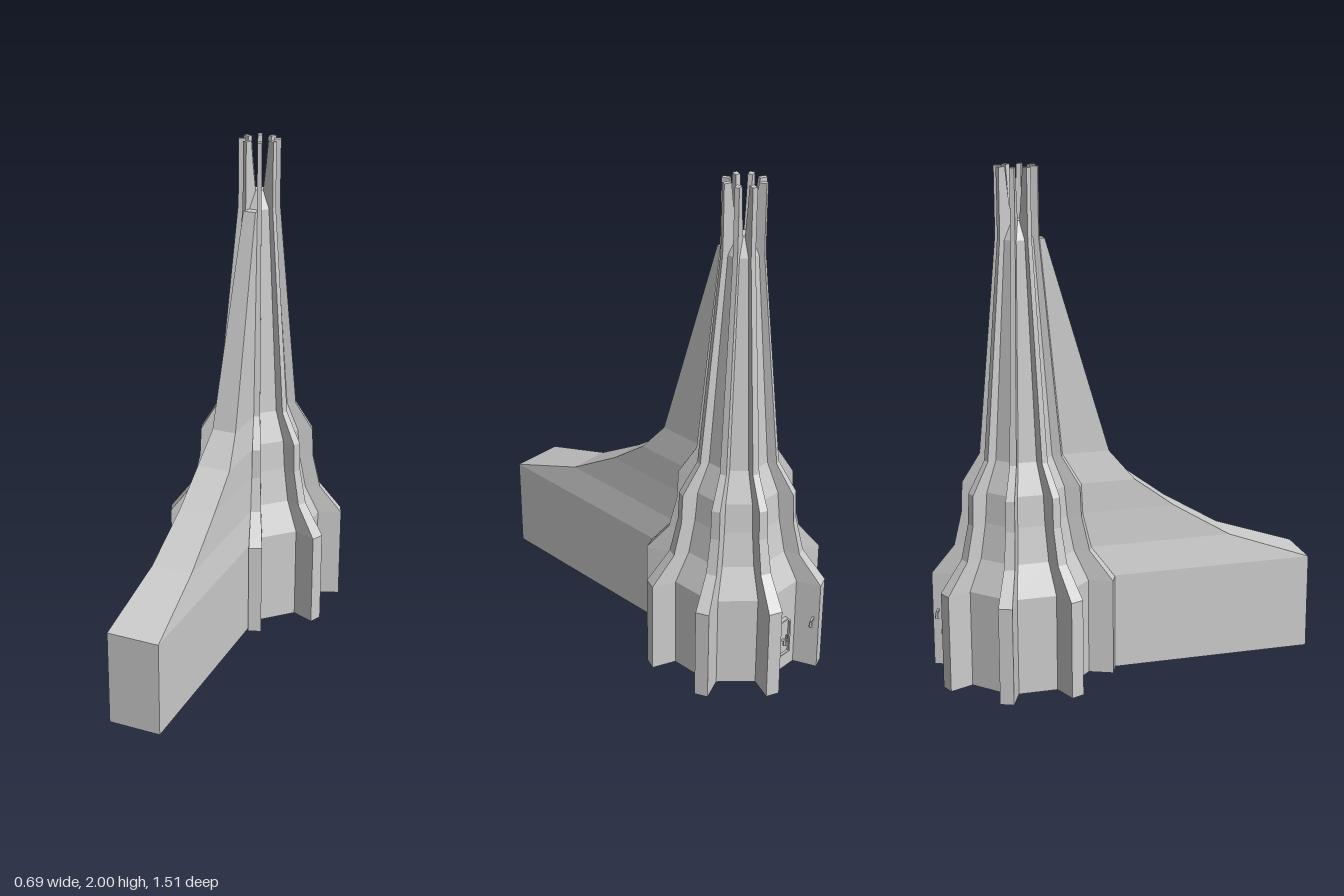
import * as THREE from 'three';

const CZ = -0.41;                       // tower axis in z
const T = Math.tan(Math.PI / 8), C = Math.cos(Math.PI / 8);
const mat = new THREE.MeshStandardMaterial({ color: 0xcccccc, flatShading: true, side: THREE.DoubleSide });

// Shared heights: [y, octagon apothem, fin outer radius, fin half width, buttress front z]
const LEVELS = [
  [0.00, 0.255, 0.363, 0.027, 0.755],
  [0.39, 0.255, 0.363, 0.027, 0.755],
  [0.51, 0.200, 0.270, 0.021, 0.42],
  [0.65, 0.175, 0.238, 0.018, 0.19],
  [0.77, 0.165, 0.233, 0.017, 0.03],
  [0.89, 0.120, 0.161, 0.013, -0.07],
  [1.73, 0.062, 0.084, 0.009, -0.31],
];

// Skin rings of [x, y, z] points, counter-clockwise from above; optional flat top
function loft(rings, { closed = true, cap = true } = {}) {
  const pos = [], n = rings[0].length;
  for (let k = 0; k < rings.length - 1; k++) {
    for (let i = 0; i < (closed ? n : n - 1); i++) {
      const j = (i + 1) % n;
      const a = rings[k][i], b = rings[k][j], c = rings[k + 1][j], d = rings[k + 1][i];
      pos.push(...a, ...b, ...c, ...a, ...c, ...d);
    }
  }
  const top = rings[rings.length - 1];
  if (cap) for (let i = 1; i < n - 1; i++) pos.push(...top[0], ...top[i], ...top[i + 1]);
  const g = new THREE.BufferGeometry();
  g.setAttribute('position', new THREE.Float32BufferAttribute(pos, 3));
  g.computeVertexNormals();
  return g;
}

function add(parent, name, geometry) {
  const m = new THREE.Mesh(geometry, mat);
  m.name = name;
  parent.add(m);
  return m;
}

// Octagonal core, open underneath
function coreGeometry() {
  const octagon = (y, apothem) => Array.from({ length: 8 }, (_, i) => {
    const a = (i + 0.5) * Math.PI / 4, r = apothem / C;
    return [r * Math.sin(a), y, r * Math.cos(a)];
  });
  return loft([...LEVELS.map(([y, a]) => octagon(y, a)), octagon(1.8, 0.03)]);
}

// One radial fin pointing to +z, rising above the core as a prong
function finGeometry() {
  const ring = (y, inner, outer, w) => [[-w, y, inner], [-w, y, outer], [w, y, outer], [w, y, inner]];
  const rings = LEVELS.map(([y, a, r, w]) => ring(y, a / C - w * T - 0.002, r, w));
  rings.push(ring(1.8, 0.03, 0.083, 0.009), ring(1.9, 0.044, 0.083, 0.009), ring(2, 0.055, 0.083, 0.009));
  return loft(rings);
}

// Long sweeping buttress, as wide as the core face it meets
function buttressGeometry() {
  return loft(LEVELS.map(([y, a, , , front]) => {
    const w = a * T, back = CZ + a;
    return [[-w, y, back], [-w, y, front], [w, y, front], [w, y, back]];
  }), { closed: false });
}

// Door outline with clipped upper corners
function doorPoints(w, h, cut) {
  return [[-w, 0], [w, 0], [w, h - cut], [w - cut, h], [cut - w, h], [-w, h - cut]]
    .map(([x, y]) => new THREE.Vector2(x, y));
}

export function createModel() {
  const model = new THREE.Group();
  model.name = 'tower';

  const shaft = new THREE.Group();
  shaft.name = 'shaft';
  shaft.position.z = CZ;
  model.add(shaft);
  add(shaft, 'core', coreGeometry());

  const fin = finGeometry();
  for (let i = 0; i < 8; i++) add(shaft, 'fin', fin).rotation.y = (i + 0.5) * Math.PI / 4;

  add(model, 'buttress', buttressGeometry());

  // Rear door: frame, recessed panel and handle
  const door = new THREE.Group();
  door.name = 'door';
  door.position.set(0, 0.08, CZ - 0.255);
  door.rotation.y = Math.PI;
  model.add(door);
  const frame = new THREE.Shape(doorPoints(0.036, 0.17, 0.018));
  const opening = doorPoints(0.029, 0.157, 0.015);
  opening.forEach(p => { p.y += 0.006; });
  frame.holes.push(new THREE.Path(opening));
  add(door, 'doorFrame', new THREE.ExtrudeGeometry(frame, { depth: 0.015, bevelEnabled: false }));
  add(door, 'doorPanel', new THREE.ExtrudeGeometry(new THREE.Shape(opening), { depth: 0.006, bevelEnabled: false }));
  add(door, 'doorHandle', new THREE.BoxGeometry(0.005, 0.016, 0.008)).position.set(0.02, 0.075, 0.009);

  // Lamps on the inner sides of the two rear fins
  for (const s of [-1, 1]) {
    const lamp = new THREE.Group();
    lamp.name = 'lamp';
    lamp.position.z = CZ;
    lamp.rotation.y = Math.PI - s * Math.PI / 8;
    model.add(lamp);
    add(lamp, 'lampArm', new THREE.BoxGeometry(0.036, 0.008, 0.008)).position.set(s * 0.04, 0.235, 0.34);
    add(lamp, 'lampHead', new THREE.CylinderGeometry(0.006, 0.009, 0.026, 6)).position.set(s * 0.056, 0.222, 0.34);
  }
  return model;
}
